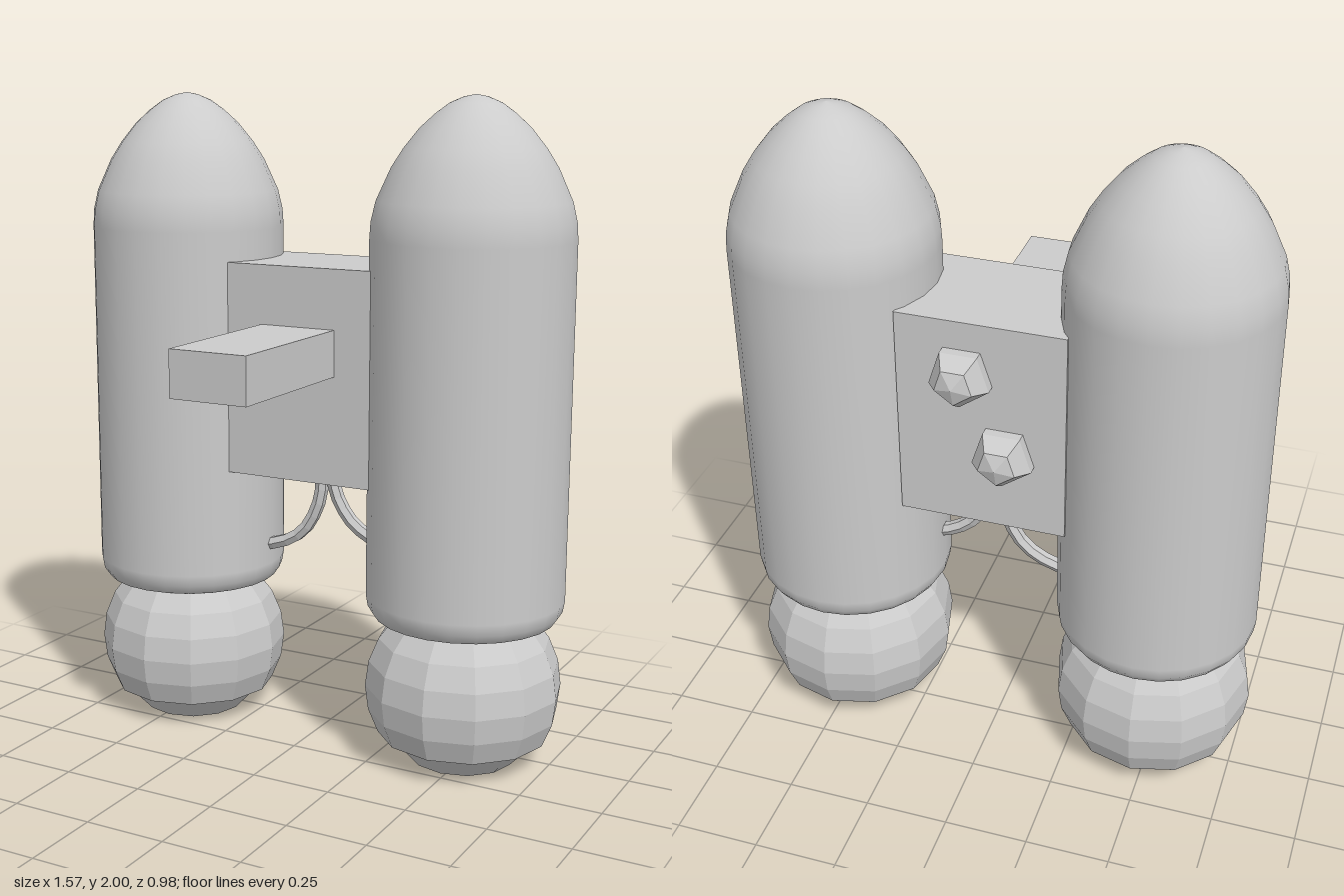
import * as THREE from 'three';

const smooth = new THREE.MeshStandardMaterial({ color: 0xcccccc });
const flat = new THREE.MeshStandardMaterial({ color: 0xcccccc, flatShading: true });
const flatOpen = new THREE.MeshStandardMaterial({ color: 0xcccccc, flatShading: true, side: THREE.DoubleSide });

const AXIS_Z = -0.19; // depth of the tank axes
const TANK_X = 0.485;

function part(name, geometry, material, x = 0, y = 0, z = 0) {
  const mesh = new THREE.Mesh(geometry, material);
  mesh.name = name;
  mesh.position.set(x, y, z);
  return mesh;
}

const lathe = (points, sides) =>
  new THREE.LatheGeometry(points.map(([r, y]) => new THREE.Vector2(r, y)), sides);

// Smooth cylinder with a rounded base edge and a bullet nose
const tankGeometry = lathe([
  [0, 0.45], [0.255, 0.45], [0.275, 0.457], [0.294, 0.485], [0.3, 0.52],
  [0.3, 1.59], [0.297, 1.64], [0.283, 1.7], [0.24, 1.795], [0.205, 1.85],
  [0.16, 1.906], [0.115, 1.947], [0.075, 1.976], [0.035, 1.993], [0, 2],
], 24);

// Faceted ball, cut off below the middle
const ballGeometry = new THREE.SphereGeometry(0.3, 12, 8, 0, Math.PI * 2, 0, Math.PI * 2 / 3);

// Ring lip, tapered collar and hollow exhaust cone under the ball
const nozzleGeometry = lathe([
  [0.05, 0.16], [0.145, 0], [0.16, 0], [0.235, 0.08], [0.26, 0.08],
], 12);

// Five-sided faceted knob with its axis along z
const knobGeometry = new THREE.SphereGeometry(0.096, 5, 5);
knobGeometry.rotateY(-Math.PI / 2).rotateX(-Math.PI / 2);

function hose(name, points) {
  const curve = new THREE.CatmullRomCurve3(points.map(([x, y]) => new THREE.Vector3(x, y, AXIS_Z)));
  return part(name, new THREE.TubeGeometry(curve, 9, 0.021, 6), flat);
}

export function createModel() {
  const model = new THREE.Group();
  model.name = 'twinTankPack';

  // Mirrored boosters
  for (const side of [-1, 1]) {
    const booster = new THREE.Group();
    booster.name = side > 0 ? 'leftBooster' : 'rightBooster';
    booster.position.set(side * TANK_X, 0, AXIS_Z);
    booster.add(
      part('tank', tankGeometry, smooth),
      part('ball', ballGeometry, flatOpen, 0, 0.23, 0),
      part('nozzle', nozzleGeometry, flatOpen),
    );
    model.add(booster);
  }

  // Central body and forward arm
  model.add(part('body', new THREE.BoxGeometry(0.49, 0.65, 0.355), flat, 0, 1.175, -0.1975));
  model.add(part('arm', new THREE.BoxGeometry(0.246, 0.14, 0.53), flat, 0, 1.25, 0.225));

  // Knobs on the back
  model.add(part('upperKnob', knobGeometry, flat, 0.052, 1.34, -0.374));
  model.add(part('lowerKnob', knobGeometry, flat, -0.068, 1.1, -0.374));

  // Hoses from the body to the tanks
  model.add(hose('rightHose', [[-0.005, 0.88], [-0.01, 0.76], [-0.065, 0.65], [-0.14, 0.6], [-0.22, 0.58]]));
  model.add(hose('leftHose', [[0.03, 0.88], [0.045, 0.78], [0.1, 0.695], [0.17, 0.65], [0.24, 0.63]]));

  return model;
}
